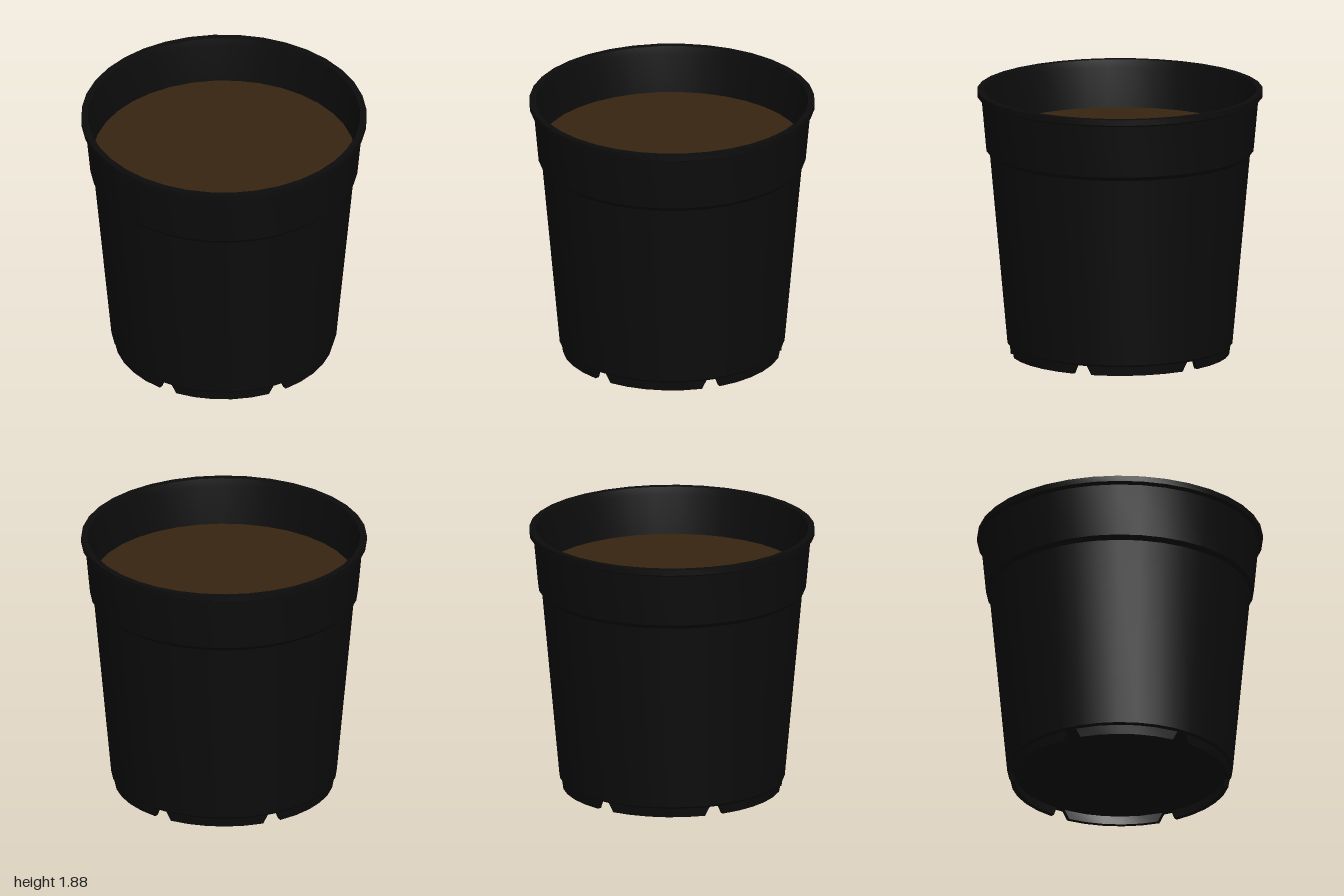
import * as THREE from 'three';
import { toCreasedNormals } from 'three/addons/utils/BufferGeometryUtils.js';

const SIDES = 36;
const BASE = 0.065; // height of the raised floor plate above the ground
const rad = THREE.MathUtils.degToRad;

// One arc of the foot ring: a rectangular section swept round, with slanted ends
function footArc(start, end) {
  const loop = [[0.735, 0], [0.767, 0], [0.777, BASE + 0.005], [0.745, BASE + 0.005]];
  const steps = Math.round((end - start) / 10);
  const pos = [], index = [];
  for (let i = 0; i <= steps; i++) {
    for (const [r, y] of loop) {
      let a = start + i * 10;
      if (y > 0) a += i === 0 ? -2.5 : i === steps ? 2.5 : 0;
      pos.push(r * Math.sin(rad(a)), y, r * Math.cos(rad(a)));
    }
  }
  for (let i = 0; i < steps; i++) {
    for (let j = 0; j < 4; j++) {
      const a = i * 4 + j, d = i * 4 + (j + 1) % 4;
      index.push(a, a + 4, d, a + 4, d + 4, d);
    }
  }
  const e = steps * 4;
  index.push(0, 1, 2, 0, 2, 3, e, e + 2, e + 1, e, e + 3, e + 2);
  const g = new THREE.BufferGeometry();
  g.setAttribute('position', new THREE.Float32BufferAttribute(pos, 3));
  g.setIndex(index);
  return toCreasedNormals(g, 0.5);
}

export function createModel() {
  const model = new THREE.Group();
  model.name = 'plantPot';
  const plastic = new THREE.MeshStandardMaterial({ color: 0x0c0c0c });
  const earth = new THREE.MeshStandardMaterial({ color: 0x362411 });

  const add = (name, geometry, material, parent = model) => {
    const mesh = new THREE.Mesh(geometry, material);
    mesh.name = name;
    parent.add(mesh);
    return mesh;
  };

  // Pot shell: floor underside, outer wall, collar, rim, then down the inside
  const profile = [
    [0, BASE], [0.777, BASE], [0.79, 0.08],
    [0.913, 1.43], [0.938, 1.46],
    [0.972, 1.83], [1, 1.845], [1, 1.885],
    [0.955, 1.885], [0.945, 1.83], [0.912, 1.46], [0.885, 1.43],
    [0.76, 0.1], [0, 0.1],
  ].map(([x, y]) => new THREE.Vector2(x, y));
  add('potShell', toCreasedNormals(new THREE.LatheGeometry(profile, SIDES).toNonIndexed(), 0.3), plastic);

  // Foot ring, cut by six drainage notches
  const feet = new THREE.Group();
  feet.name = 'footRing';
  model.add(feet);
  for (let k = 0; k < 6; k++) {
    add('footSegment', footArc(-10 + k * 60, 40 + k * 60), plastic, feet);
  }

  // Soil surface
  const soil = add('soil', new THREE.CircleGeometry(0.92, SIDES), earth);
  soil.rotation.x = -Math.PI / 2;
  soil.position.y = 1.55;

  return model;
}
